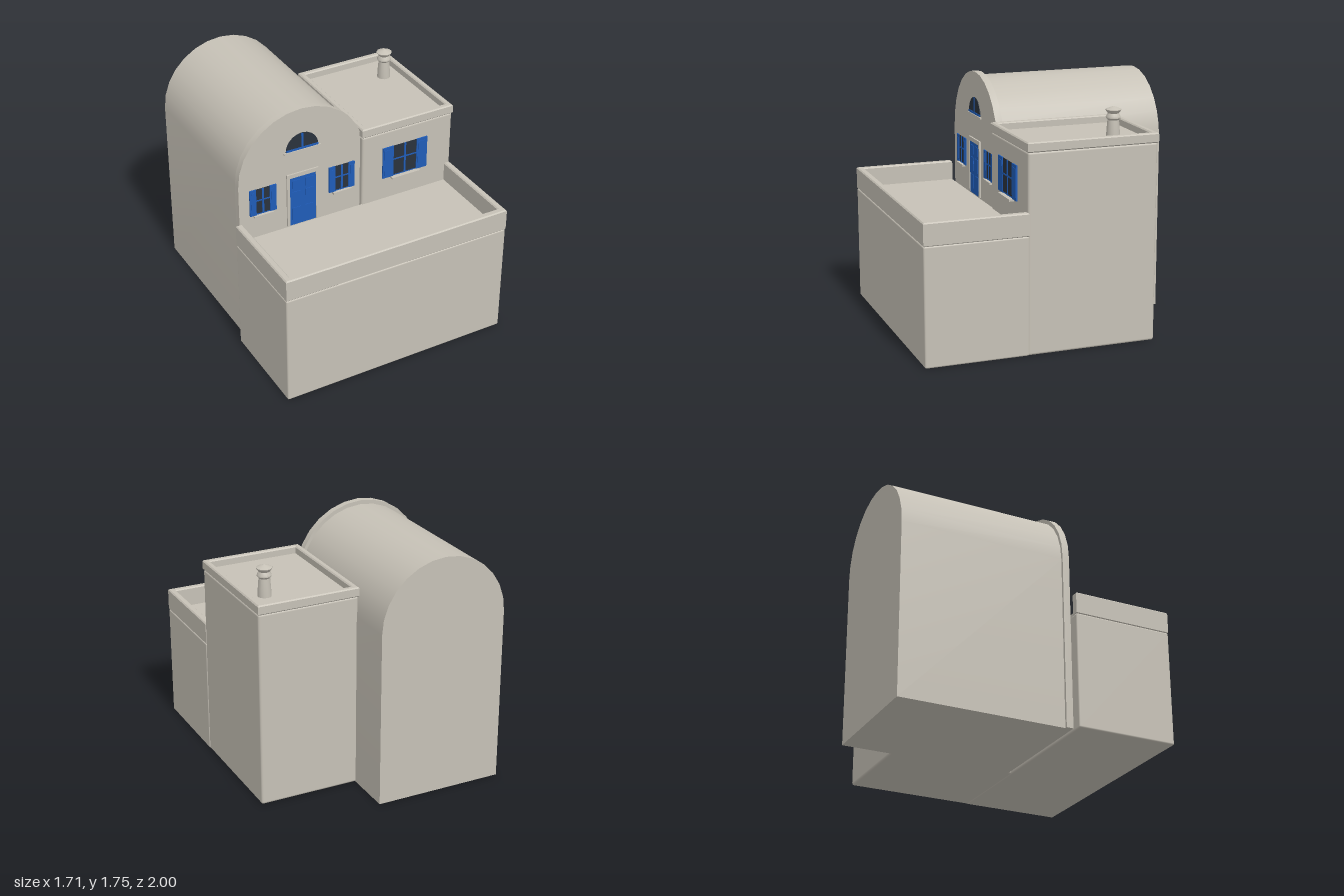
import * as THREE from 'three';
import { toCreasedNormals } from 'three/addons/utils/BufferGeometryUtils.js';
import { RoundedBoxGeometry } from 'three/addons/geometries/RoundedBoxGeometry.js';

const material = (name, color) => {
  const m = new THREE.MeshStandardMaterial({ color });
  m.name = name;
  return m;
};

export function createModel() {
  const house = new THREE.Group();
  house.name = 'house';
  const plaster = material('plaster', 0xc6c1b6);
  const blue = material('blue paint', 0x1f5cb8);
  const glass = material('dark glass', 0x2a323d);

  const add = (parent, name, geometry, mat) => {
    const mesh = new THREE.Mesh(geometry, mat);
    mesh.name = name;
    parent.add(mesh);
    return mesh;
  };
  const group = (name, x = 0, y = 0, z = 0) => {
    const g = new THREE.Group();
    g.name = name;
    g.position.set(x, y, z);
    house.add(g);
    return g;
  };
  // Box given by its limits on each axis
  const box = (parent, name, mat, x0, x1, y0, y1, z0, z1, round = 0) => {
    const size = [x1 - x0, y1 - y0, z1 - z0];
    const geo = round ? new RoundedBoxGeometry(...size, 2, round) : new THREE.BoxGeometry(...size);
    geo.translate((x0 + x1) / 2, (y0 + y1) / 2, (z0 + z1) / 2);
    return add(parent, name, geo, mat);
  };
  const polygon = (points) => points.map(([x, y]) => new THREE.Vector2(x, y));
  // Bevelled wall ring, drawn in plan (x, -z) and raised from y0 to y1
  const parapet = (name, shape, y0, y1) => {
    const b = 0.008;
    const geo = new THREE.ExtrudeGeometry(shape, {
      depth: y1 - y0 - 2 * b, bevelEnabled: true, bevelSize: b, bevelThickness: b, bevelOffset: -b, bevelSegments: 1,
    });
    geo.rotateX(-Math.PI / 2).translate(0, y0 + b, 0);
    add(house, name, geo, plaster);
  };

  // Front terrace with a parapet open towards the house
  box(house, 'terraceBlock', plaster, -0.855, 0.855, 0, 0.832, 0.27, 1, 0.012);
  box(house, 'terraceFloor', plaster, -0.83, 0.83, 0.81, 0.85, 0.272, 0.98);
  parapet('terraceParapet', new THREE.Shape(polygon([
    [-0.855, -1], [0.855, -1], [0.855, -0.27], [0.807, -0.27],
    [0.807, -0.952], [-0.807, -0.952], [-0.807, -0.27], [-0.855, -0.27],
  ])), 0.828, 0.99);

  // Flat-roofed side block
  box(house, 'sideBlock', plaster, 0.124, 0.852, 0, 1.396, -0.648, 0.28, 0.016);
  box(house, 'sideRoof', plaster, 0.15, 0.83, 1.37, 1.41, -0.63, 0.26);
  const ring = new THREE.Shape(polygon([[0.12, -0.285], [0.856, -0.285], [0.856, 0.655], [0.12, 0.655]]));
  ring.holes.push(new THREE.Path(polygon([[0.162, -0.243], [0.162, 0.613], [0.814, 0.613], [0.814, -0.243]])));
  parapet('sideParapet', ring, 1.393, 1.462);

  // Barrel-vaulted hall and its slightly larger facade
  const vault = (name, radius, springY, z0, z1) => {
    const pts = [[-radius, 0], [radius, 0]];
    for (let i = 0; i <= 14; i++) {
      const a = (i / 14) * Math.PI;
      pts.push([radius * Math.cos(a), springY + radius * Math.sin(a)]);
    }
    const geo = new THREE.ExtrudeGeometry(new THREE.Shape(polygon(pts)), { depth: z1 - z0, bevelEnabled: false });
    geo.translate(-0.33, 0, z0);
    add(house, name, toCreasedNormals(geo, 0.5), plaster);
  };
  vault('vaultedHall', 0.466, 1.25, -1, 0.2);
  vault('facade', 0.485, 1.26, 0.195, 0.245);

  // Shuttered window: glass, glazing bars, shutters and sill
  const shutteredWindow = (name, x, y, z, halfGlass, shutter, height, sillHalf, sillDepth) => {
    const g = group(name, x, y, z);
    box(g, 'pane', glass, -halfGlass, halfGlass, 0, height, 0, 0.004);
    const bar = 0.007;
    box(g, 'uprightBar', blue, -bar, bar, 0, height, 0.001, 0.008);
    box(g, 'crossBar', blue, -halfGlass, halfGlass, height * 0.55 - bar * 0.7, height * 0.55 + bar * 0.7, 0.001, 0.007);
    box(g, 'bottomRail', blue, -halfGlass, halfGlass, 0, 0.006, 0.001, 0.007);
    for (const s of [-1, 1]) {
      const a = s * halfGlass, b = s * (halfGlass + shutter);
      const lo = Math.min(a, b), hi = Math.max(a, b);
      box(g, 'shutter', blue, lo, hi, -0.002, height + 0.002, 0, 0.009);
      box(g, 'shutterPanel', blue, lo + 0.012, hi - 0.012, 0.02, height - 0.02, 0.009, 0.012);
    }
    box(g, 'sill', plaster, -sillHalf, sillHalf, -0.017, -0.003, -0.002, sillDepth);
  };
  shutteredWindow('leftWindow', -0.635, 1.014, 0.245, 0.052, 0.049, 0.2, 0.073, 0.024);
  shutteredWindow('middleWindow', -0.023, 1.014, 0.245, 0.052, 0.049, 0.2, 0.073, 0.024);
  shutteredWindow('sideWindow', 0.467, 1.023, 0.28, 0.094, 0.087, 0.242, 0.113, 0.034);

  // Half-round window above the door
  const lunette = group('archedWindow', -0.33, 1.436, 0.245);
  const pane = new THREE.CircleGeometry(0.124, 10, 0, Math.PI);
  pane.translate(0, 0, 0.005);
  add(lunette, 'pane', pane, glass);
  const rim = new THREE.CylinderGeometry(0.124, 0.124, 0.005, 10, 1, true, Math.PI / 2, Math.PI);
  rim.rotateX(Math.PI / 2).translate(0, 0, 0.0025);
  const rimMesh = add(lunette, 'paneEdge', rim, glass);
  rimMesh.scale.y = rim.boundingBox === null && rim.attributes.position.getY(1) < -0.01 ? -1 : 1;
  box(lunette, 'uprightBar', blue, -0.007, 0.007, 0, 0.122, 0.001, 0.009);
  box(lunette, 'bottomRail', blue, -0.122, 0.122, 0, 0.015, 0.001, 0.009);
  box(lunette, 'sill', plaster, -0.14, 0.14, -0.016, -0.002, -0.002, 0.012);

  // Door with frame and raised panels
  const door = group('door', -0.33, 0.85, 0.245);
  box(door, 'leaf', blue, -0.102, 0.102, -0.01, 0.375, 0, 0.007);
  for (const s of [-1, 1]) {
    box(door, 'jamb', plaster, s * 0.112 - 0.011, s * 0.112 + 0.011, -0.01, 0.405, -0.002, 0.012);
    for (const [y0, y1] of [[0.03, 0.13], [0.16, 0.26], [0.285, 0.35]]) {
      box(door, 'panel', blue, s * 0.05 - 0.032, s * 0.05 + 0.032, y0, y1, 0.007, 0.011);
    }
  }
  box(door, 'lintel', plaster, -0.102, 0.102, 0.375, 0.405, -0.002, 0.012);

  // Turned chimney pot
  const profile = polygon([
    [0.048, 1.4], [0.045, 1.47], [0.039, 1.54], [0.05, 1.553], [0.05, 1.562],
    [0.038, 1.585], [0.055, 1.608], [0.055, 1.612], [0, 1.634],
  ]);
  const chimney = add(house, 'chimney', toCreasedNormals(new THREE.LatheGeometry(profile, 14), 0.55), plaster);
  chimney.position.set(0.69, 0, -0.39);

  return house;
}
